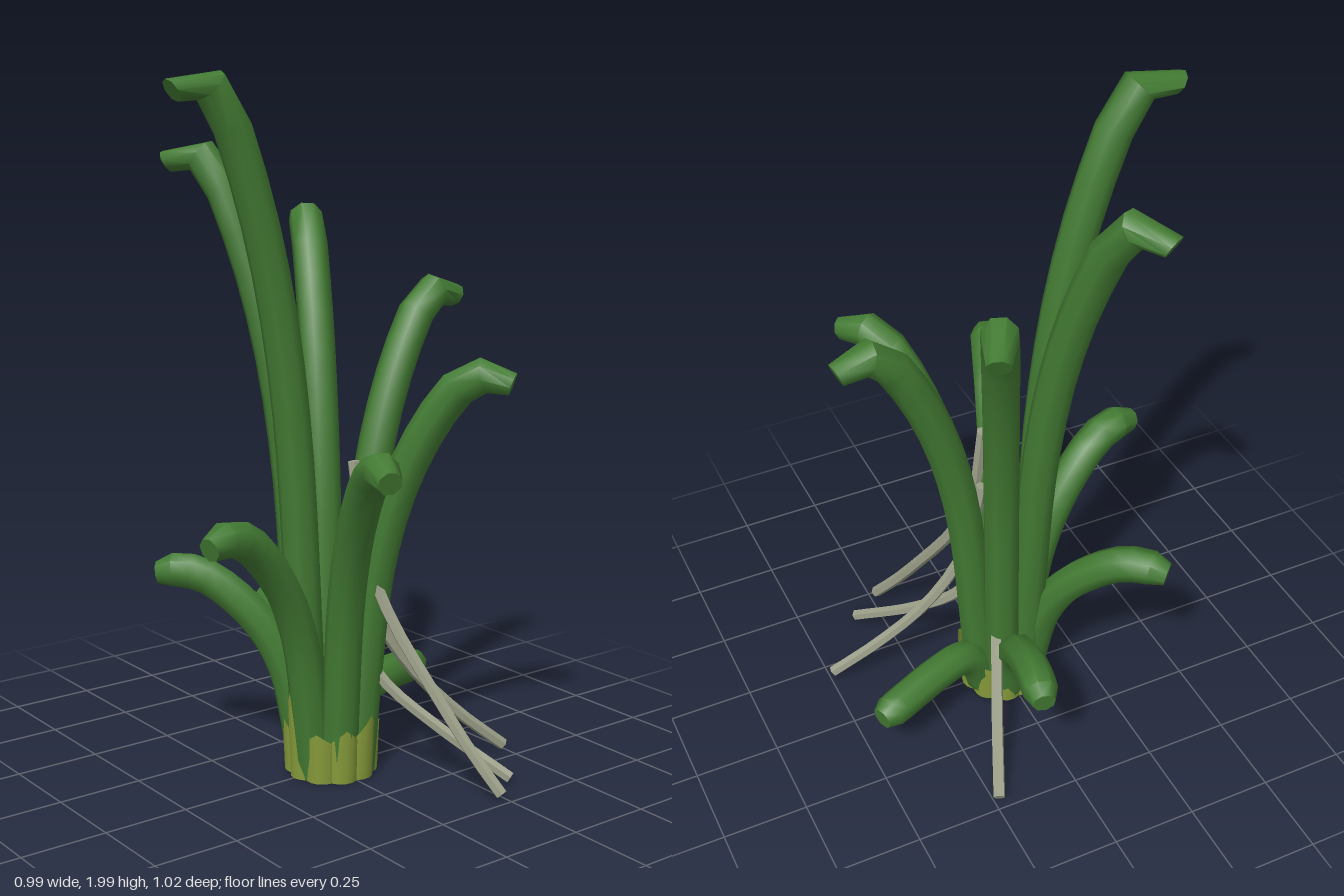
import * as THREE from 'three';
import { toCreasedNormals } from 'three/addons/utils/BufferGeometryUtils.js';

// Capped tube along a path, with a radius rule over its length
function taperedTube(points, segments, sides, radiusAt) {
  const curve = new THREE.CatmullRomCurve3(points.map((p) => new THREE.Vector3(...p)));
  const geo = new THREE.TubeGeometry(curve, segments, 1, sides);
  const n = segments - 2;
  const frames = curve.computeFrenetFrames(n);
  const pos = geo.attributes.position;
  const v = new THREE.Vector3();
  for (let i = 0; i <= segments; i++) {
    // first and last rings collapse to a point and close the ends
    const k = THREE.MathUtils.clamp(i - 1, 0, n);
    const r = i === 0 || i === segments ? 0 : radiusAt(k / n);
    const c = curve.getPointAt(k / n);
    for (let j = 0; j <= sides; j++) {
      const a = (j / sides) * Math.PI * 2;
      v.copy(c)
        .addScaledVector(frames.normals[k], -Math.cos(a) * r)
        .addScaledVector(frames.binormals[k], Math.sin(a) * r);
      pos.setXYZ(i * (sides + 1) + j, v.x, Math.max(0, v.y), v.z);
    }
  }
  return toCreasedNormals(geo, 0.85);
}

// Pointed leaf wrapped round the outside of the base
function sheathLeaf(angle, height) {
  const geo = new THREE.PlaneGeometry(1, 1, 8, 3);
  const pos = geo.attributes.position;
  for (let i = 0; i < pos.count; i++) {
    const s = pos.getX(i) * 2;
    const t = pos.getY(i) + 0.5;
    const y = t * (0.1 + (height - 0.1) * (1 - Math.abs(s)));
    const a = s * 1.5;
    const out = 0.08 + Math.cos(a) * 0.054 + y * 0.04;
    const side = Math.sin(a) * 0.05;
    pos.setXYZ(i,
      Math.cos(angle) * out + Math.sin(angle) * side, y,
      Math.sin(angle) * out - Math.cos(angle) * side);
  }
  geo.computeVertexNormals();
  return geo;
}

export function createModel() {
  const group = new THREE.Group();
  const green = new THREE.MeshStandardMaterial({ color: 0x437b33 });
  green.name = 'stem green';
  const lime = new THREE.MeshStandardMaterial({ color: 0x869a3a, side: THREE.DoubleSide });
  lime.name = 'sheath lime';
  const grey = new THREE.MeshStandardMaterial({ color: 0x9ca089 });
  grey.name = 'root grey';
  const add = (name, geo, mat) => {
    const mesh = new THREE.Mesh(geo, mat);
    mesh.name = name;
    group.add(mesh);
    return mesh;
  };

  // Stems: rise steeply, then bend outward. [outward fraction, height fraction]
  const bend = [[0, 0], [0.05, 0.25], [0.13, 0.52], [0.27, 0.72], [0.47, 0.88], [0.68, 0.985], [0.85, 1.01], [1, 0.99]];
  const lowBend = [[0, 0], [0.08, 0.55], [0.22, 0.95], [0.5, 1.02], [0.75, 0.98], [1, 0.92]];
  // tip x, tip z, height of the tip centre
  const stems = [
    [-0.015, 0.495, 1.955], [-0.43, 0.255, 1.755], [-0.455, -0.225, 1.56], [-0.05, -0.495, 1.355],
    [0.4, -0.315, 1.165], [0.468, 0.165, 0.965], [0.115, 0.485, 0.765], [-0.36, 0.355, 0.572],
    [-0.492, -0.105, 0.375], [-0.18, -0.475, 0.19],
  ];
  const stemRadius = (u) => (u === 1 ? 0.034 : u > 0.9 ? 0.051 : 0.053);
  stems.forEach(([x, z, h]) => {
    const k = 0.075 / Math.hypot(x, z);
    const path = (h < 0.2 ? lowBend : bend).map(([f, y]) => [x * (k + (1 - k) * f), y * h, z * (k + (1 - k) * f)]);
    add('stem', taperedTube(path, 18, 8, stemRadius), green);
  });

  // Base: solid core with a jagged ring of leaves
  add('baseCore', new THREE.CylinderGeometry(0.1, 0.1, 0.1, 20), green).position.y = 0.055;
  const heights = [0.16, 0.15, 0.27, 0.18, 0.15, 0.17, 0.14, 0.18, 0.15, 0.19];
  heights.forEach((h, i) => {
    add('sheathLeaf', sheathLeaf(Math.PI / 2 + ((i - 2) * Math.PI) / 5, h), lime);
  });

  // Roots: thin strands curving down to the ground
  const roots = [
    [[0.065, 0.92, -0.03], [0.1, 0.65, -0.05], [0.175, 0.47, -0.085], [0.3, 0.27, -0.145], [0.4, 0.125, -0.19], [0.48, 0.02, -0.23]],
    [[0.03, 0.75, -0.05], [0.05, 0.5, -0.1], [0.09, 0.3, -0.21], [0.15, 0.14, -0.35], [0.205, 0.02, -0.487]],
    [[0.03, 0.45, -0.03], [0.11, 0.28, -0.1], [0.23, 0.155, -0.2], [0.407, 0.02, -0.33]],
    [[-0.04, 0.36, -0.04], [-0.13, 0.24, -0.08], [-0.28, 0.13, -0.15], [-0.475, 0.02, -0.237]],
  ];
  roots.forEach((path) => add('root', taperedTube(path, 14, 6, () => 0.018), grey));

  return group;
}
